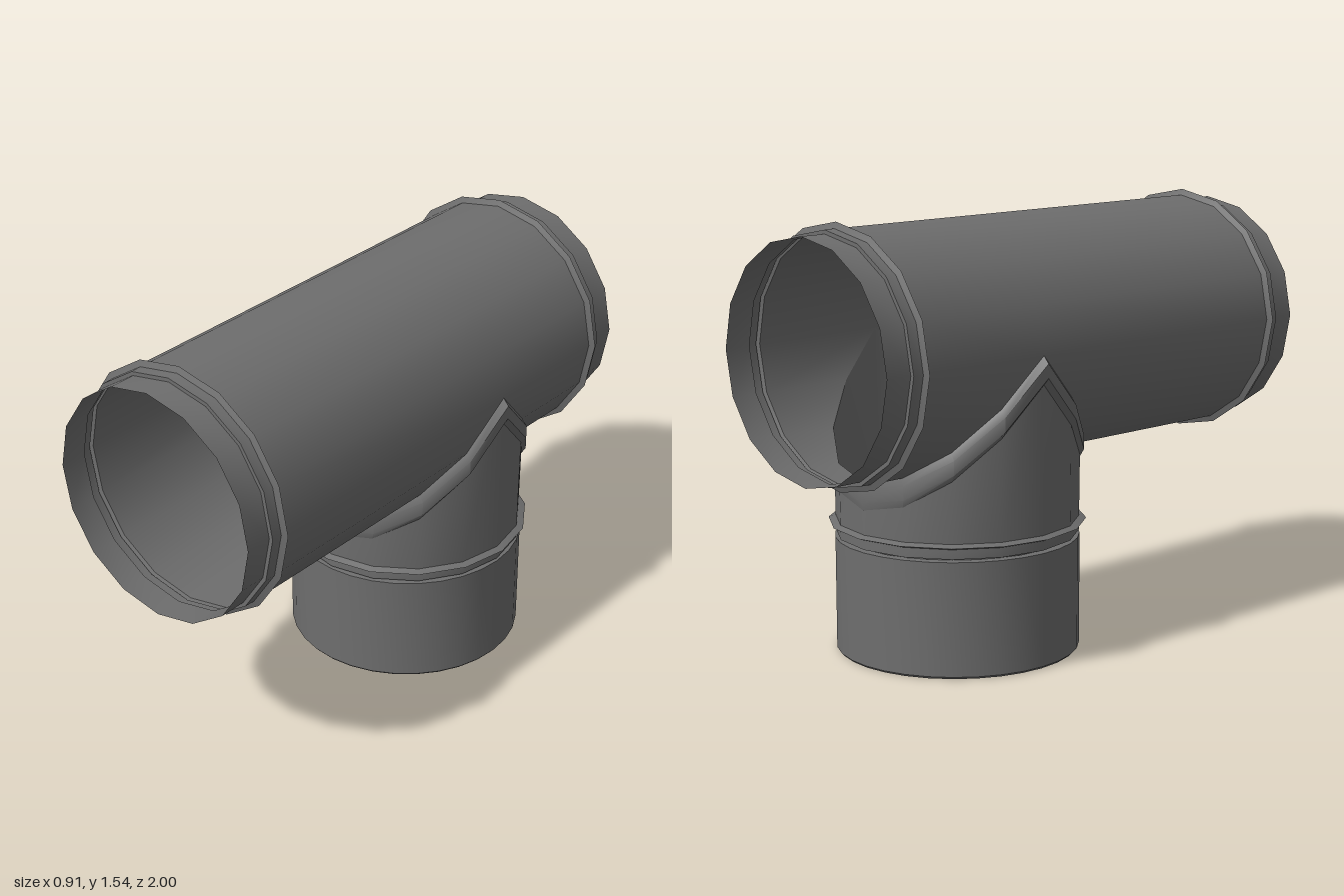
import * as THREE from 'three';
import { mergeGeometries, mergeVertices, toCreasedNormals } from 'three/addons/utils/BufferGeometryUtils.js';

const SIDES = 16;
const R = 0.433;        // pipe radius
const AXIS_Y = 1.09;    // height of the main pipe's axis
const BRANCH_Z = -0.32; // position of the branch along the main pipe

// Skin closed loops of points into a surface
function skin(loops) {
  const pos = [], index = [];
  for (const loop of loops) for (const p of loop) pos.push(...p);
  for (let i = 0; i < loops.length - 1; i++) {
    for (let j = 0; j < SIDES; j++) {
      const k = (j + 1) % SIDES;
      const a = i * SIDES + j, b = a + SIDES, c = i * SIDES + k, d = c + SIDES;
      index.push(a, b, c, b, d, c);
    }
  }
  const g = new THREE.BufferGeometry();
  g.setAttribute('position', new THREE.Float32BufferAttribute(pos, 3));
  g.setIndex(index);
  return g;
}

const ring = (fn) => Array.from({ length: SIDES }, (_, j) => fn(j / SIDES * Math.PI * 2));

// Loop round the main pipe's axis, angle measured from the bottom
const mainLoop = (r, zAt) => ring((t) => [r * Math.sin(t), AXIS_Y - r * Math.cos(t), zAt(t)]);

// Loop round the branch's axis
const branchLoop = (rx, rz, yAt) => ring((t) => [rx * Math.cos(t), yAt(t), BRANCH_Z + rz * Math.sin(t)]);

// Height of the mitre joint between the two pipes
const seamY = (t) => AXIS_Y - R * Math.abs(Math.sin(t));

export function createModel() {
  const group = new THREE.Group();
  const metal = new THREE.MeshStandardMaterial({ color: 0x6e6e6e });
  metal.side = THREE.DoubleSide;

  const add = (name, geometry) => {
    const mesh = new THREE.Mesh(toCreasedNormals(geometry, 0.6), metal);
    mesh.name = name;
    group.add(mesh);
  };

  // Main pipe: spigot, step, bead and wall at each end, cut open over the branch
  const endProfile = [[0.418, 1], [0.418, 0.9], [0.432, 0.9], [R, 0.86], [0.455, 0.852], [R, 0.844]];
  const halves = [1, -1].map((side) => {
    const loops = endProfile.map(([r, z]) => mainLoop(r, () => side * z));
    loops.push(mainLoop(R, (t) => BRANCH_Z + side * R * Math.max(0, Math.cos(t))));
    return skin(side > 0 ? loops : loops.reverse());
  });
  add('mainPipe', mergeVertices(mergeGeometries(halves), 1e-4));

  // Branch: narrow neck inside the cap, bead, then wall up to the mitre
  const neck = [[0.405, 0.36], [0.405, 0.418], [0.43, 0.418], [0.43, 0.452], [0.455, 0.461], [0.43, 0.47]];
  const branch = neck.map(([r, y]) => branchLoop(r, r, () => y));
  branch.push(branchLoop(R, R, seamY));
  add('branchPipe', skin(branch));

  // Raised collar along the mitre
  const collar = [[0.1, 0], [0.075, 0.022], [0.025, 0.022], [0, 0]];
  add('mitreCollar', skin(collar.map(([drop, bulge]) =>
    branchLoop(R + bulge, R + bulge * 0.2, (t) => seamY(t) - drop))));

  // Bottom cap with concentric pressed steps underneath
  const cap = [
    [0, 0.022], [0.11, 0.022], [0.115, 0.008], [0.185, 0.008], [0.19, 0.022], [0.28, 0.022],
    [0.285, 0.008], [0.385, 0.008], [0.39, 0.02], [0.405, 0.02], [0.41, 0], [0.425, 0],
    [0.432, 0.008], [0.432, 0.408], [0.404, 0.41],
  ].map(([x, y]) => new THREE.Vector2(x, y));
  const capGeometry = new THREE.LatheGeometry(cap, 32);
  capGeometry.translate(0, 0, BRANCH_Z);
  add('bottomCap', capGeometry);

  return group;
}
